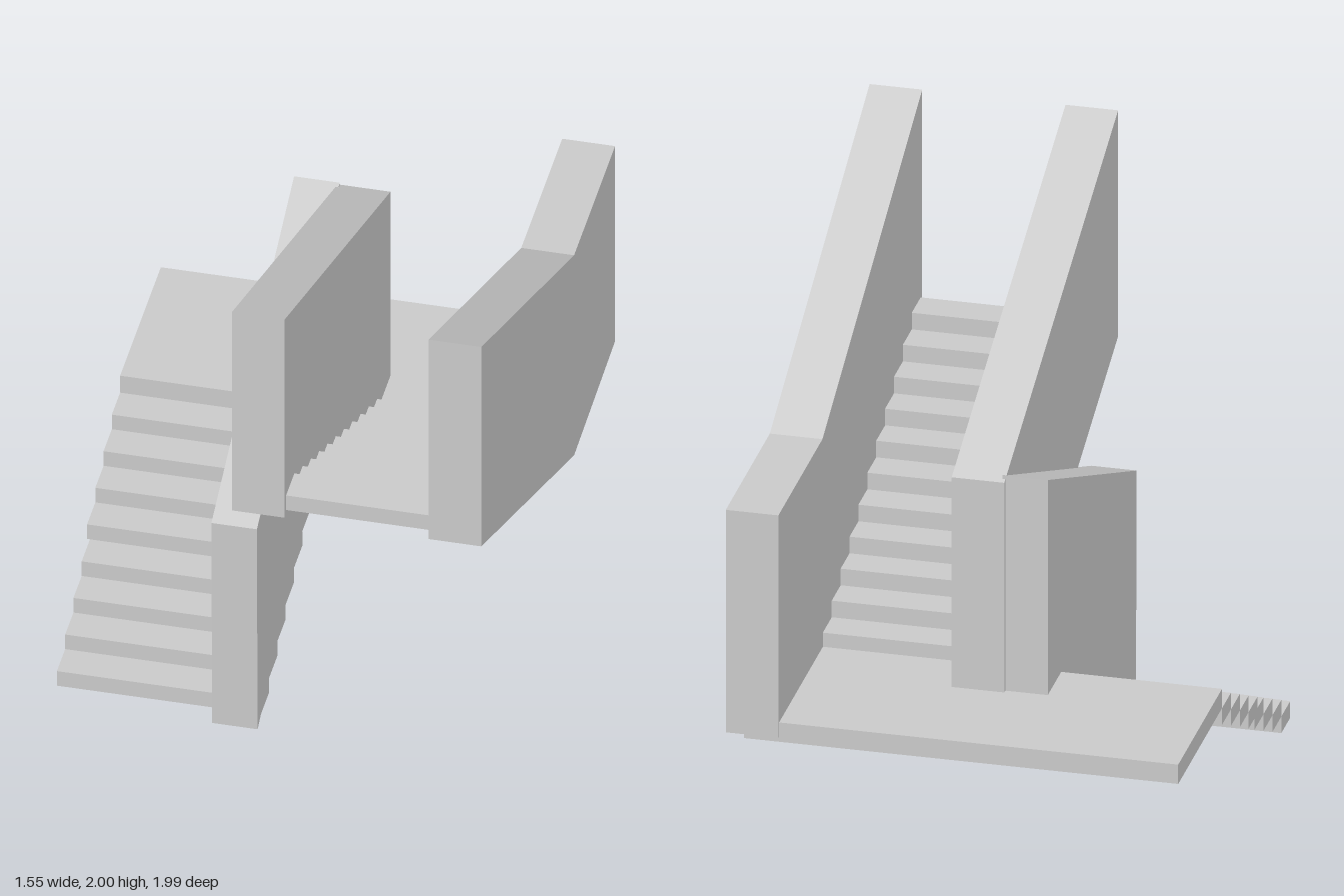
import * as THREE from 'three';

const material = new THREE.MeshStandardMaterial({ color: 0xcccccc, flatShading: true });

// Box given by its limits on each axis
function block(name, [x0, x1], [y0, y1], [z0, z1]) {
  const mesh = new THREE.Mesh(new THREE.BoxGeometry(x1 - x0, y1 - y0, z1 - z0), material);
  mesh.position.set((x0 + x1) / 2, (y0 + y1) / 2, (z0 + z1) / 2);
  mesh.name = name;
  return mesh;
}

// Parapet: a side outline of [z, y] points, extruded from x0 to x1
function wall(name, x0, x1, outline) {
  const shape = new THREE.Shape(outline.map(([z, y]) => new THREE.Vector2(z, y)));
  const geometry = new THREE.ExtrudeGeometry(shape, { depth: x1 - x0, bevelEnabled: false });
  geometry.rotateY(-Math.PI / 2).translate(x1, 0, 0);
  const mesh = new THREE.Mesh(geometry, material);
  mesh.name = name;
  return mesh;
}

export function createModel() {
  const model = new THREE.Group();
  model.name = 'staircase';
  const rise = 0.061, going = 0.123;

  // Lower flight climbs towards the back; its upper half is a touch wider
  const lowerFlight = new THREE.Group();
  lowerFlight.name = 'lowerFlight';
  for (let i = 0; i < 8; i++) {
    const y = 0.026 + i * rise, z = 0.6 - i * going;
    lowerFlight.add(block('lowerStep', [i < 4 ? -0.765 : -0.775, -0.07], [y, y + rise], [z - going, z]));
  }

  // Upper flight turns round and climbs towards the front
  const upperFlight = new THREE.Group();
  upperFlight.name = 'upperFlight';
  for (let i = 0; i < 11; i++) {
    const y = 0.576 + i * rise, z = -0.385 + i * going;
    upperFlight.add(block('upperStep', [-0.07, 0.61], [y, y + rise], [z, z + going]));
  }

  // Landing joining the two flights
  const landing = block('landing', [-0.775, 0.71], [0.514, 0.585], [-0.99, -0.384]);

  // Solid parapet walls
  const lowerWall = wall('lowerWall', -0.225, -0.07, [
    [0.65, 0], [0.66, 0.845], [-0.57, 1.375], [-0.57, 0.515], [-0.38, 0.515],
  ]);
  const innerWall = wall('innerWall', -0.08, 0.1, [
    [0.99, 1.17], [0.99, 2], [-0.585, 1.355], [-0.585, 0.53],
  ]);
  const outerWall = wall('outerWall', 0.59, 0.77, [
    [0.99, 1.165], [0.99, 2], [-0.39, 1.35], [-1, 1.35], [-1, 0.533], [-0.39, 0.512],
  ]);

  model.add(lowerFlight, upperFlight, landing, lowerWall, innerWall, outerWall);
  return model;
}
